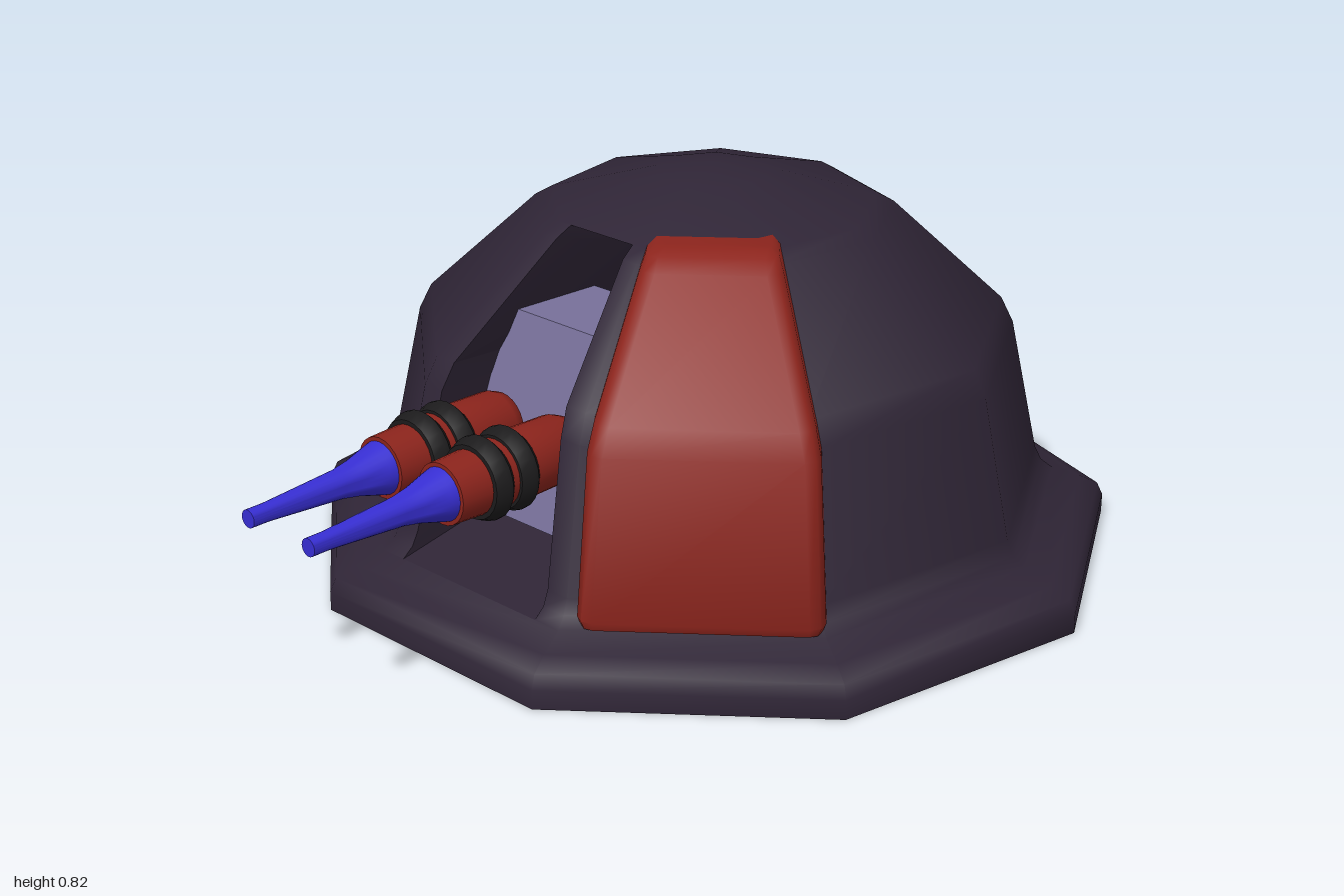
import * as THREE from 'three';
import { toCreasedNormals } from 'three/addons/utils/BufferGeometryUtils.js';

const CZ = -0.145; // dome axis
const RAD = Math.PI / 180;
const COLORS = { shell: 0x2f2536, red: 0x8c241c, plate: 0x77709a, blue: 0x372ed2, black: 0x1c1b1c };

function paint(color, doubleSided = false) {
  return new THREE.MeshStandardMaterial({ color, side: doubleSided ? THREE.DoubleSide : THREE.FrontSide });
}

// Mesh from quads of [x, y, z] corners, dropping collapsed triangles
function quadMesh(name, quads, color, crease, doubleSided) {
  const pos = [];
  const v = (p) => new THREE.Vector3(...p);
  for (const [a, b, c, d] of quads) {
    for (const tri of [[a, b, c], [a, c, d]]) {
      const [p, q, r] = tri.map(v);
      if (q.sub(p).cross(r.sub(p)).length() > 1e-8) pos.push(...tri.flat());
    }
  }
  const geo = new THREE.BufferGeometry();
  geo.setAttribute('position', new THREE.Float32BufferAttribute(pos, 3));
  const mesh = new THREE.Mesh(toCreasedNormals(geo, crease), paint(color, doubleSided));
  mesh.name = name;
  return mesh;
}

// Quads between successive closed rings (counterclockwise from above, rising)
function loft(rings) {
  const quads = [];
  for (let i = 0; i + 1 < rings.length; i++) {
    const n = rings[i].length;
    for (let j = 0; j < n; j++) {
      const k = (j + 1) % n;
      quads.push([rings[i][j], rings[i][k], rings[i + 1][k], rings[i + 1][j]]);
    }
  }
  return quads;
}

function centreOf(ring) {
  const c = [0, 1, 2].map((i) => ring.reduce((s, p) => s + p[i], 0) / ring.length);
  return ring.map(() => c);
}

// Nine-sided shell profile: radius, height, half-width of the front opening
const PROFILE = [
  [0.83, 0.03], [0.835, 0], [0.855, 0], [0.855, 0.04], [0.842, 0.068], [0.80, 0.088],
  [0.74, 0.11, 0.19], [0.715, 0.13, 0.189], [0.70, 0.16, 0.187], [0.637, 0.45, 0.168],
  [0.61, 0.505, 0.158], [0.375, 0.725, 0.091], [0.34, 0.745, 0.085],
  [0.12, 0.805], [0, 0.82],
];

function makeShell() {
  const rings = PROFILE.map(([r, y]) => Array.from({ length: 9 }, (_, j) => {
    const a = (-20 + 40 * j) * RAD;
    return [r * Math.sin(a), y, CZ + r * Math.cos(a)];
  }));
  const quads = [];
  loft(rings).forEach((q, n) => {
    const i = Math.floor(n / 9);
    const lo = PROFILE[i][2], hi = PROFILE[i + 1][2];
    if (n % 9 === 0 && lo && hi) {
      // Front facet: leave the opening between two side strips
      const [a, b, c, d] = q;
      quads.push([a, [-lo, a[1], a[2]], [-hi, d[1], d[2]], d]);
      quads.push([[lo, b[1], b[2]], b, c, [hi, c[1], c[2]]]);
    } else quads.push(q);
  });
  return quadMesh('domeShell', quads, COLORS.shell, 0.9, true);
}

// Recess behind the opening, narrowing in height towards the back
function makeRecess() {
  const rows = PROFILE.filter((p) => p[2]).map(([r, y, w]) => {
    const t = (y - 0.11) / 0.635;
    return { w, y, z: CZ + r * Math.cos(20 * RAD), by: 0.2 + 0.45 * t, bz: 0.05 - 0.18 * t };
  });
  const front = (p, s) => [s * p.w, p.y, p.z];
  const back = (p, s) => [s * p.w, p.by, p.bz];
  const quads = [];
  for (let i = 0; i + 1 < rows.length; i++) {
    const p = rows[i], q = rows[i + 1];
    quads.push([front(p, -1), back(p, -1), back(q, -1), front(q, -1)]);
    quads.push([back(p, 1), front(p, 1), front(q, 1), back(q, 1)]);
    quads.push([back(p, -1), back(p, 1), back(q, 1), back(q, -1)]);
  }
  const p = rows[0], q = rows[rows.length - 1];
  quads.push([front(p, -1), front(p, 1), back(p, 1), back(p, -1)]);
  quads.push([back(q, -1), back(q, 1), front(q, 1), front(q, -1)]);
  return quadMesh('gunRecess', quads, COLORS.shell, 0.2, true);
}

// Sloping bevelled plate that carries the guns
function makeMount() {
  const ring = ([y, zf, zb, w, b]) => [
    [-w, y, zb], [-w, y, zf - b], [-w + b, y, zf], [w - b, y, zf], [w, y, zf - b], [w, y, zb],
  ];
  const rings = [[0.2, 0.40, 0.24, 0.215, 0.02], [0.585, 0.28, 0.08, 0.18, 0.02]].map(ring);
  return quadMesh('gunMount', loft([centreOf(rings[0]), ...rings, centreOf(rings[1])]), COLORS.plate, 0.3);
}

// Raised rounded armour panel on the neighbouring facet
function makePanel() {
  // height, outer distance, inner distance, half-width, bevel
  const rows = [
    [0.11, 0.685, 0.60, 0.215, 0.02], [0.117, 0.705, 0.60, 0.228, 0.025],
    [0.135, 0.712, 0.60, 0.235, 0.03], [0.45, 0.655, 0.52, 0.218, 0.03],
    [0.50, 0.628, 0.48, 0.207, 0.03], [0.725, 0.405, 0.26, 0.137, 0.03],
    [0.748, 0.375, 0.25, 0.128, 0.025], [0.757, 0.345, 0.25, 0.112, 0.02],
  ];
  const rings = rows.map(([y, r, inner, w, b]) => [
    [-w, inner], [-w, r - b], [-w + b * 0.3, r - b * 0.3], [-w + b, r],
    [w - b, r], [w - b * 0.3, r - b * 0.3], [w, r - b], [w, inner],
  ].map(([t, d]) => [t + 0.017, y, d]));
  const mesh = quadMesh('armourPanel',
    loft([centreOf(rings[0]), ...rings, centreOf(rings[rings.length - 1])]), COLORS.red, 0.85);
  mesh.position.z = CZ;
  mesh.rotation.y = 40 * RAD;
  return mesh;
}

// Gun pieces are lathed along z from [radius, z] points
function lathe(name, points, color) {
  const geo = new THREE.LatheGeometry(points.map(([r, z]) => new THREE.Vector2(r, z)), 24);
  geo.rotateX(Math.PI / 2);
  const mesh = new THREE.Mesh(toCreasedNormals(geo, 0.7), paint(color));
  mesh.name = name;
  return mesh;
}

function makeGun(side) {
  const gun = new THREE.Group();
  gun.name = side > 0 ? 'leftGun' : 'rightGun';
  gun.add(lathe('gunBody', [
    [0, 0.355], [0.045, 0.358], [0.06, 0.368], [0.068, 0.39], [0.07, 0.5], [0.062, 0.685], [0, 0.685],
  ], COLORS.red));
  for (const z of [0.525, 0.59]) {
    gun.add(lathe('gunRing', [
      [0.06, z - 0.025], [0.072, z - 0.025], [0.084, z - 0.012], [0.084, z - 0.002],
      [0.074, z + 0.022], [0.06, z + 0.022],
    ], COLORS.black));
  }
  gun.add(lathe('gunBarrel', [
    [0, 0.68], [0.055, 0.68], [0.05, 0.70], [0.036, 0.75], [0.029, 0.79], [0.018, 0.96], [0.018, 1], [0, 1],
  ], COLORS.blue));
  gun.position.set(side * 0.086, 0.385, 0);
  return gun;
}

export function createModel() {
  const model = new THREE.Group();
  model.name = 'domeTurret';
  model.add(makeShell(), makeRecess(), makeMount(), makePanel(), makeGun(-1), makeGun(1));
  return model;
}
